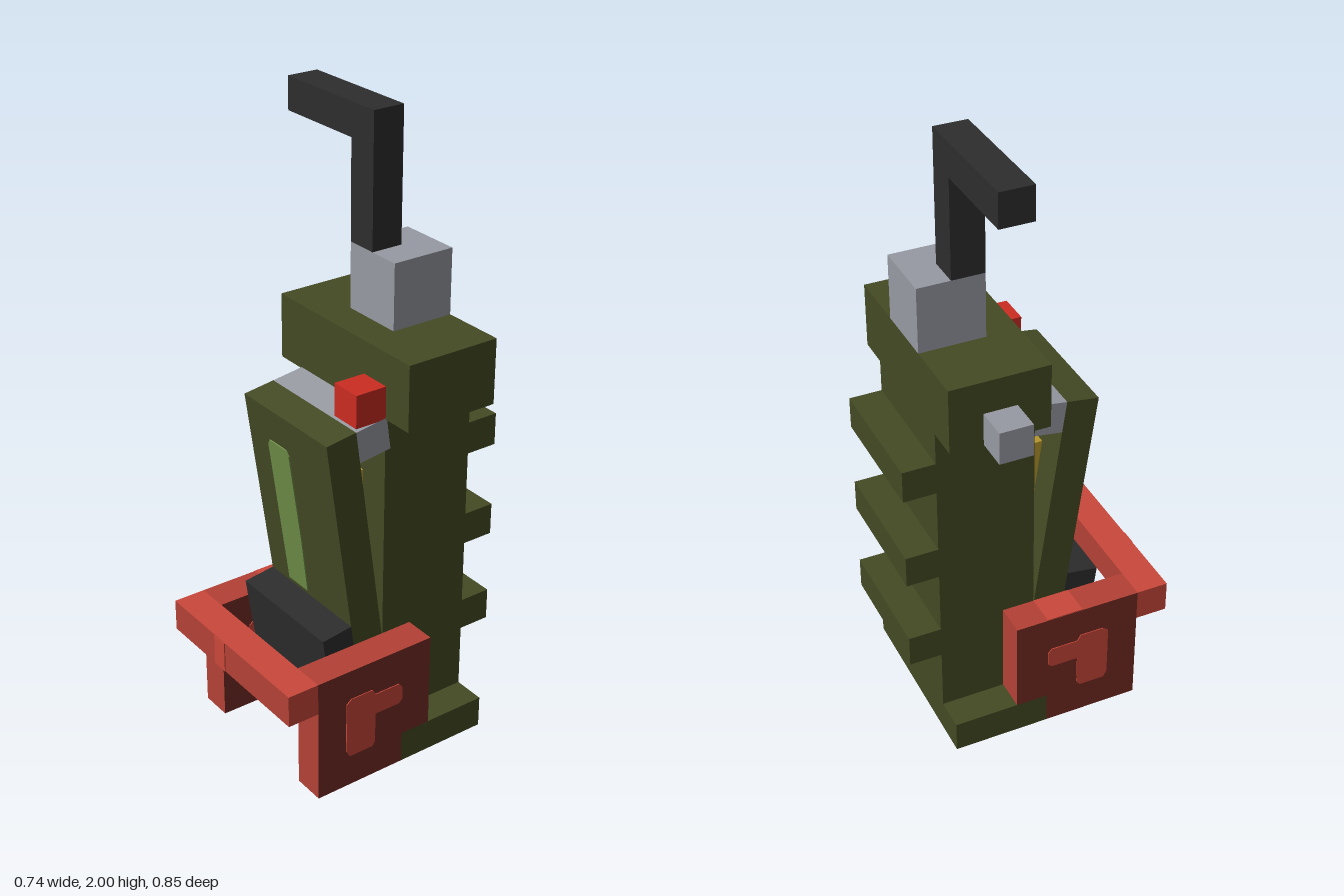
import * as THREE from 'three';

const mat = (name, color) => {
  const m = new THREE.MeshStandardMaterial({ color });
  m.name = name;
  return m;
};

export function createModel() {
  const green = mat('olive green', 0x444b24);
  const lime = mat('light green', 0x71904a);
  const black = mat('charcoal', 0x2d2d2e);
  const grey = mat('steel grey', 0x979aa2);
  const gold = mat('gold', 0xb5962e);
  const button = mat('button red', 0xcb2c22);
  const light = mat('light red', 0xca473a);
  const mid = mat('mid red', 0xb44135);
  const dark = mat('dark red', 0x752c24);

  const model = new THREE.Group();
  const U = 2 / 19; // block unit

  // box from min to max corner, in block units
  const box = (parent, name, material, [x0, x1], [y0, y1], [z0, z1]) => {
    const g = new THREE.BoxGeometry((x1 - x0) * U, (y1 - y0) * U, (z1 - z0) * U);
    const m = new THREE.Mesh(g, material);
    m.position.set((x0 + x1) / 2 * U, (y0 + y1) / 2 * U, (z0 + z1) / 2 * U);
    m.name = name;
    parent.add(m);
    return m;
  };
  // thin painted plate, centred on its own plane
  const patch = (parent, name, material, points) => {
    const shape = new THREE.Shape(points.map(([x, y]) => new THREE.Vector2(x, y)));
    const g = new THREE.ExtrudeGeometry(shape, { depth: 0.006, bevelEnabled: false });
    g.translate(0, 0, -0.003);
    const m = new THREE.Mesh(g, material);
    m.name = name;
    parent.add(m);
    return m;
  };

  // body, base, cap and back ribs
  const bodyX = [-1.5, 2.5], wideX = [-2.5, 3.5];
  box(model, 'base', green, wideX, [0, 1], [-3, 0]);
  box(model, 'body', green, bodyX, [1, 11], [-3, 0]);
  box(model, 'cap', green, wideX, [11, 13], [-3, 0]);
  for (const y of [3, 6, 9]) box(model, 'backRib', green, bodyX, [y, y + 1], [-4, -3]);

  // top fittings
  box(model, 'crankMount', grey, [-0.5, 1.5], [13, 15], [-3, -1]);
  box(model, 'crankPost', black, [-0.5, 0.5], [15, 18], [-2, -1]);
  box(model, 'crankArm', black, [-3.5, 0.5], [18, 19], [-2, -1]);
  box(model, 'sideKnob', grey, [-3.5, -2.5], [11, 12], [-2, -1]);
  box(model, 'button', button, [1.5, 2.5], [11, 12], [0, 1]);

  // gold block between body and lever
  box(model, 'innerBlock', gold, [-0.5, 1.5], [5, 9], [0, 0.85]);

  // leaning front lever, hung from its top back edge
  const lever = new THREE.Group();
  lever.name = 'lever';
  lever.position.set(0, 1.147, 0.105);
  lever.rotation.x = 0.14;
  model.add(lever);
  box(lever, 'leverPanel', green, bodyX, [-9, 0], [0, 1]);
  box(lever, 'leverLink', grey, bodyX, [-1, 0], [-1.05, 0]);
  box(lever, 'leverFoot', black, bodyX, [-9, -6.15], [1, 2]);
  patch(lever, 'leverStripe', lime, [
    [-0.055, -0.63], [0.043, -0.63], [0.051, -0.44], [0.051, -0.13], [0.04, -0.112], [-0.045, -0.112], [-0.055, -0.13],
  ]).position.z = U + 0.001;

  // red guard: side plates with painted hooks, joined by a front bar
  const guard = new THREE.Group();
  guard.name = 'guard';
  model.add(guard);
  const plateMats = [dark, dark, mid, mid, mid, mid];
  const hook = [
    [0.115, 0.11], [0.2, 0.11], [0.213, 0.13], [0.213, 0.305], [0.195, 0.32], [0.115, 0.32],
    [0.105, 0.3], [0.015, 0.3], [0.002, 0.285], [0.002, 0.24], [0.015, 0.228], [0.105, 0.228], [0.105, 0.125],
  ];
  for (const x of [-2.5, 2.5]) {
    box(guard, 'guardPlate', plateMats, [x, x + 1], [0, 4], [0, 3]);
    box(guard, 'guardPlateRear', plateMats, [x, x + 1], [1, 4], [-1, 0]);
    for (const side of [x, x + 1]) {
      const h = patch(guard, 'plateHook', light, hook);
      h.rotation.y = -Math.PI / 2;
      h.position.x = side * U;
    }
  }
  box(guard, 'guardBar', [light, light, light, mid, mid, mid], wideX, [3, 4], [3, 4]);
  box(guard, 'barMark', light, [-0.28, 0.25], [3.02, 3.98], [4, 4.03]);
  box(guard, 'plateMark', light, [-2.49, -1.51], [4, 4.02], [0, 1.15]);

  return model;
}
